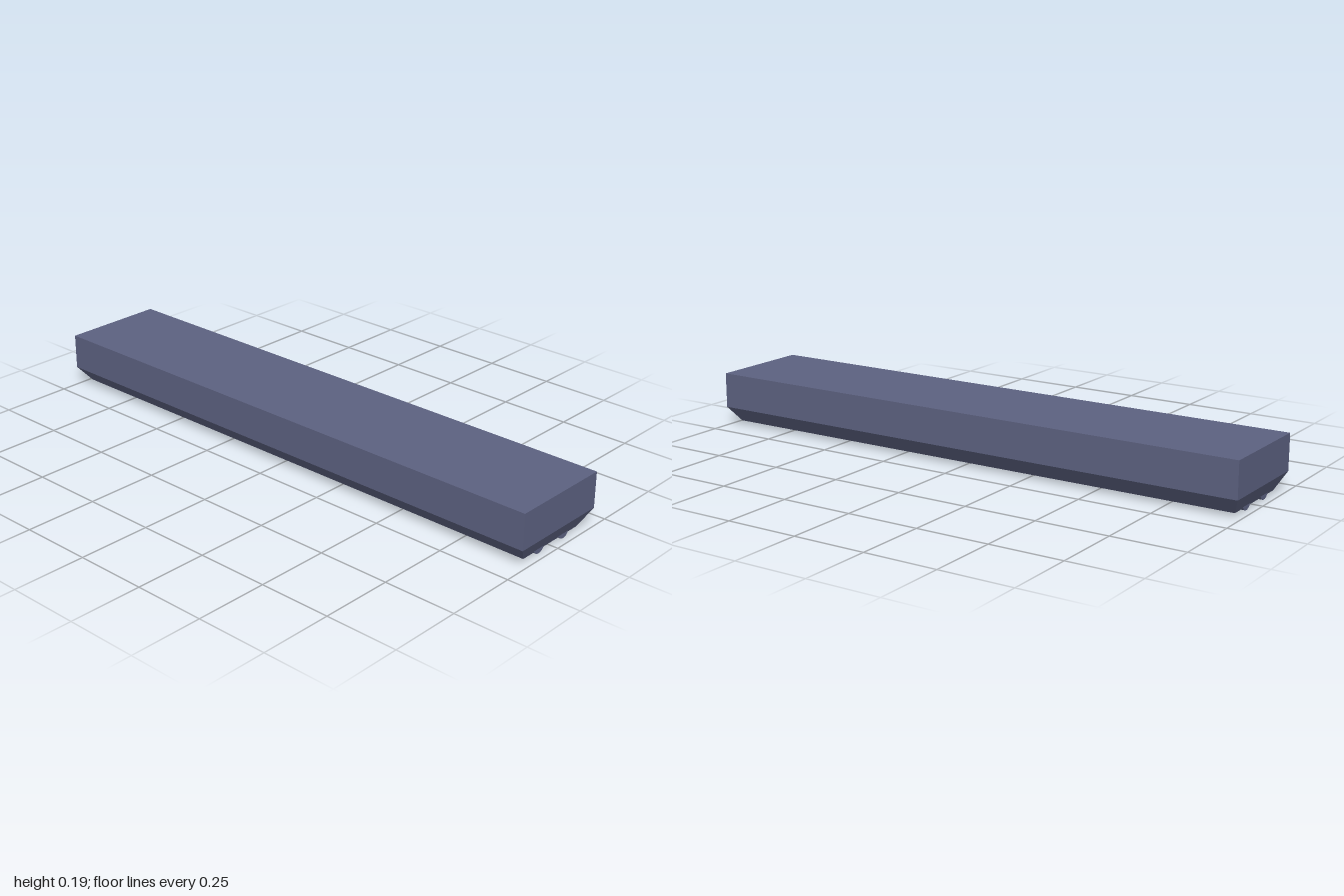
import * as THREE from 'three';

const material = new THREE.MeshStandardMaterial({ color: 0x5c6180, flatShading: true });
const socketMaterial = new THREE.MeshStandardMaterial({ color: 0x5c6180 });

// Rectangular rings [half length, y, half depth] joined by quads and closed at both ends
function ringShell(rings) {
  const corners = rings.map(([x, y, z]) => [[x, y, z], [x, y, -z], [-x, y, -z], [-x, y, z]]);
  const pos = [];
  const quad = (a, b, c, d) => pos.push(...a, ...b, ...c, ...a, ...c, ...d);
  quad(...corners[0]);
  for (let r = 0; r + 1 < corners.length; r++) {
    const u = corners[r], l = corners[r + 1];
    for (let i = 0; i < 4; i++) {
      const j = (i + 1) % 4;
      quad(u[i], l[i], l[j], u[j]);
    }
  }
  quad(...[...corners[corners.length - 1]].reverse());
  const geometry = new THREE.BufferGeometry();
  geometry.setAttribute('position', new THREE.Float32BufferAttribute(pos, 3));
  geometry.computeVertexNormals();
  return geometry;
}

// Round tube holder lying along x
function socket(side, z) {
  const group = new THREE.Group();
  group.name = 'tubeSocket';
  const base = new THREE.Mesh(new THREE.CylinderGeometry(0.028, 0.028, 0.02, 24), socketMaterial);
  base.name = 'socketDisc';
  const collar = new THREE.Mesh(new THREE.CylinderGeometry(0.021, 0.021, 0.008, 24), socketMaterial);
  collar.name = 'socketCollar';
  collar.position.y = 0.012;
  group.add(base, collar);
  group.rotation.z = side * Math.PI / 2;
  group.position.set(side * 0.965, 0.028, z);
  return group;
}

export function createModel() {
  const model = new THREE.Group();
  model.name = 'ceilingLight';

  // Housing: straight sides, tapered lower edge, hollow recess underneath
  const housing = new THREE.Mesh(ringShell([
    [1, 0.189, 0.183],
    [1, 0.066, 0.183],
    [0.972, 0.01, 0.137],
    [0.968, 0.01, 0.134],
    [0.968, 0.092, 0.134],
  ]), material);
  housing.name = 'housing';
  model.add(housing);

  // Two sockets at each end of the recess
  for (const side of [-1, 1]) for (const z of [-0.063, 0.063]) model.add(socket(side, z));
  return model;
}
